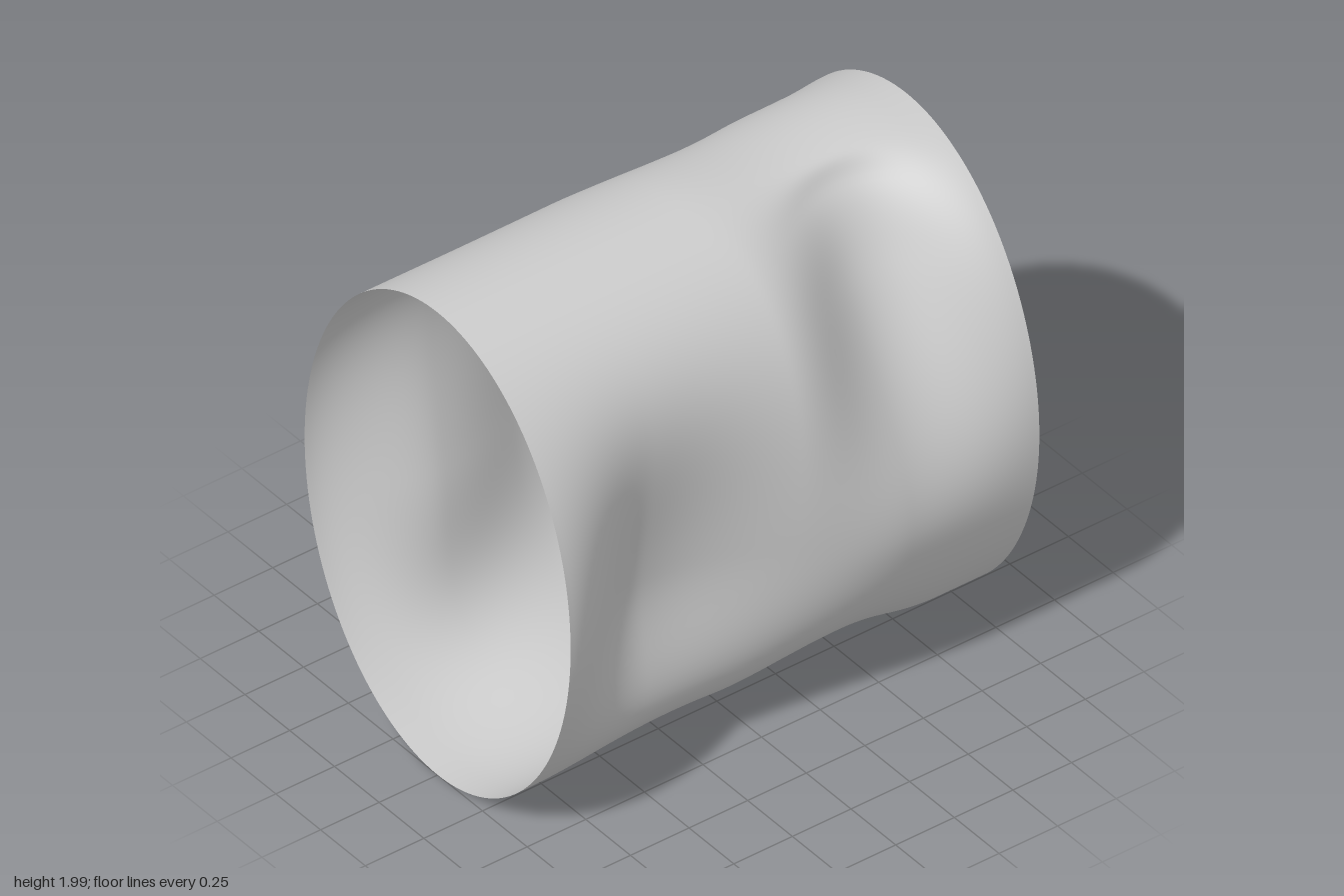
import * as THREE from 'three';
import { mergeVertices } from 'three/addons/utils/BufferGeometryUtils.js';

const RX = 0.745, RY = 0.993, CY = 0.995;

// Rounded bump of height 1 at the centre, fading to 0 over its own reach on each side
function bell(t, centre, below, above) {
  const u = (t - centre) / (t < centre ? below : above);
  return Math.abs(u) < 1 ? Math.cos(u * Math.PI / 2) ** 2 : 0;
}

// Side dents: side of the tube, depth, then the bell over height (y) and along the length (z)
const dents = [
  { side: 1, depth: 0.28, y: [0.87, 0.8, 1.1], z: [0.48, 0.95, 0.55] }, // broad, lower front
  { side: 1, depth: 0.245, y: [1.63, 0.92, 0.7], z: [-0.57, 0.49, 0.5] }, // steep, upper back
  { side: -1, depth: 0.195, y: [0.78, 0.8, 1.1], z: [0.57, 0.75, 0.45] }, // lower front
  { side: -1, depth: 0.2, y: [1.18, 1, 0.82], z: [-0.3, 0.35, 0.5] }, // upper back
  { side: -1, depth: 0.125, y: [1.15, 1, 0.84], z: [-0.78, 0.22, 0.6] }, // behind the flared rim
];

// Lift of the underside and dip of the crown along the length
const lift = (z) => 0.12 * bell(z, -0.35, 0.45, 0.5) + 0.055 * bell(z, 0.3, 0.6, 0.6);
const dip = (z) => 0.023 * bell(z, -0.45, 0.45, 0.45);

function createTube() {
  let geometry = new THREE.CylinderGeometry(1, 1, 2, 144, 100, true);
  geometry.rotateX(Math.PI / 2);
  geometry.deleteAttribute('uv');
  geometry.deleteAttribute('normal');
  geometry = mergeVertices(geometry, 1e-5);
  const p = geometry.attributes.position;
  for (let i = 0; i < p.count; i++) {
    const c = p.getX(i), s = p.getY(i), z = p.getZ(i);
    const y = CY + RY * s;
    let x = RX * c;
    // Push the sides inward, leaving the crown and underside in place
    const fade = THREE.MathUtils.smoothstep(Math.abs(c), 0, 0.45);
    for (const d of dents) {
      if (d.side * c > 0) x -= d.side * d.depth * fade * bell(y, ...d.y) * bell(z, ...d.z);
    }
    const dy = s < 0 ? lift(z) * (-s) ** 3 : -dip(z) * s ** 8;
    p.setXYZ(i, x, y + dy, z);
  }
  geometry.computeVertexNormals();
  return geometry;
}

export function createModel() {
  const group = new THREE.Group();
  group.name = 'dentedTube';
  const material = new THREE.MeshStandardMaterial({ color: 0xcccccc, side: THREE.DoubleSide });
  const wall = new THREE.Mesh(createTube(), material);
  wall.name = 'tubeWall';
  group.add(wall);
  return group;
}
